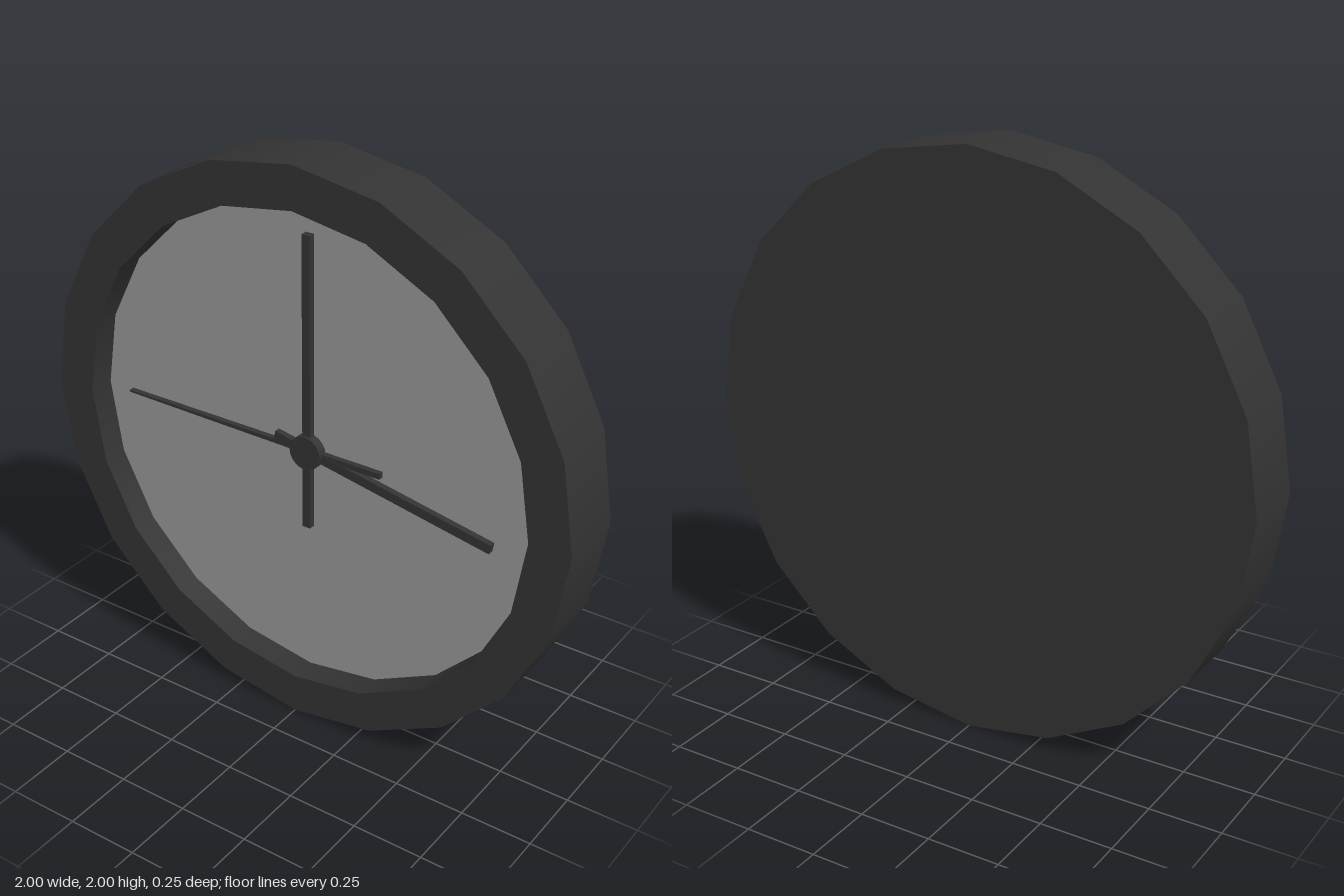
import * as THREE from 'three';
import { mergeGeometries } from 'three/addons/utils/BufferGeometryUtils.js';

const SIDES = 20;
const FACE_Z = 0.03; // front surface of the dial

const dark = new THREE.MeshStandardMaterial({ color: 0x333333 });
const grey = new THREE.MeshStandardMaterial({ color: 0x999999 });

function part(name, geometry, material) {
  const mesh = new THREE.Mesh(geometry, material);
  mesh.name = name;
  return mesh;
}

// Revolves a profile of [radius, z] around z, with sharp edges between its bands
function turned(profile) {
  const bands = [];
  for (let i = 0; i < profile.length - 1; i++) {
    const ends = [profile[i], profile[i + 1]].map(([r, z]) => new THREE.Vector2(r, z));
    bands.push(new THREE.LatheGeometry(ends, SIDES));
  }
  return mergeGeometries(bands).rotateX(Math.PI / 2);
}

// Flat hand running from -tail to +length, turned about the centre
function hand(name, tail, length, tailWidth, tipWidth, angle, thickness) {
  const shape = new THREE.Shape([
    new THREE.Vector2(-tail, -tailWidth / 2),
    new THREE.Vector2(length, -tipWidth / 2),
    new THREE.Vector2(length, tipWidth / 2),
    new THREE.Vector2(-tail, tailWidth / 2),
  ]);
  const geometry = new THREE.ExtrudeGeometry(shape, { depth: thickness, bevelEnabled: false });
  const mesh = part(name, geometry, dark);
  mesh.rotation.z = angle;
  mesh.position.z = FACE_Z;
  return mesh;
}

export function createModel() {
  const clock = new THREE.Group();
  clock.name = 'wallClock';

  // Case: back plate, outer wall, front rim and inner wall
  clock.add(part('case', turned([
    [0, -0.125], [1, -0.125], [1, 0.125], [0.855, 0.125], [0.855, FACE_Z],
  ]), dark));

  // Recessed dial
  const dial = part('dial', new THREE.CircleGeometry(0.855, SIDES), grey);
  dial.position.z = FACE_Z;
  clock.add(dial);

  // Hands
  clock.add(hand('minuteHand', 0.285, 0.755, 0.03, 0.03, Math.PI / 2, 0.024));
  clock.add(hand('hourHand', 0.13, 0.7, 0.033, 0.033, THREE.MathUtils.degToRad(-10), 0.022));
  clock.add(hand('secondHand', 0.28, 0.75, 0.02, 0.007, Math.PI, 0.02));

  // Hub over the hands
  const hub = part('hub', new THREE.CylinderGeometry(0.06, 0.06, 0.033, SIDES).rotateX(Math.PI / 2), dark);
  hub.position.z = FACE_Z + 0.0165;
  clock.add(hub);

  clock.position.y = 1;
  const model = new THREE.Group();
  model.name = 'clock';
  model.add(clock);
  return model;
}
